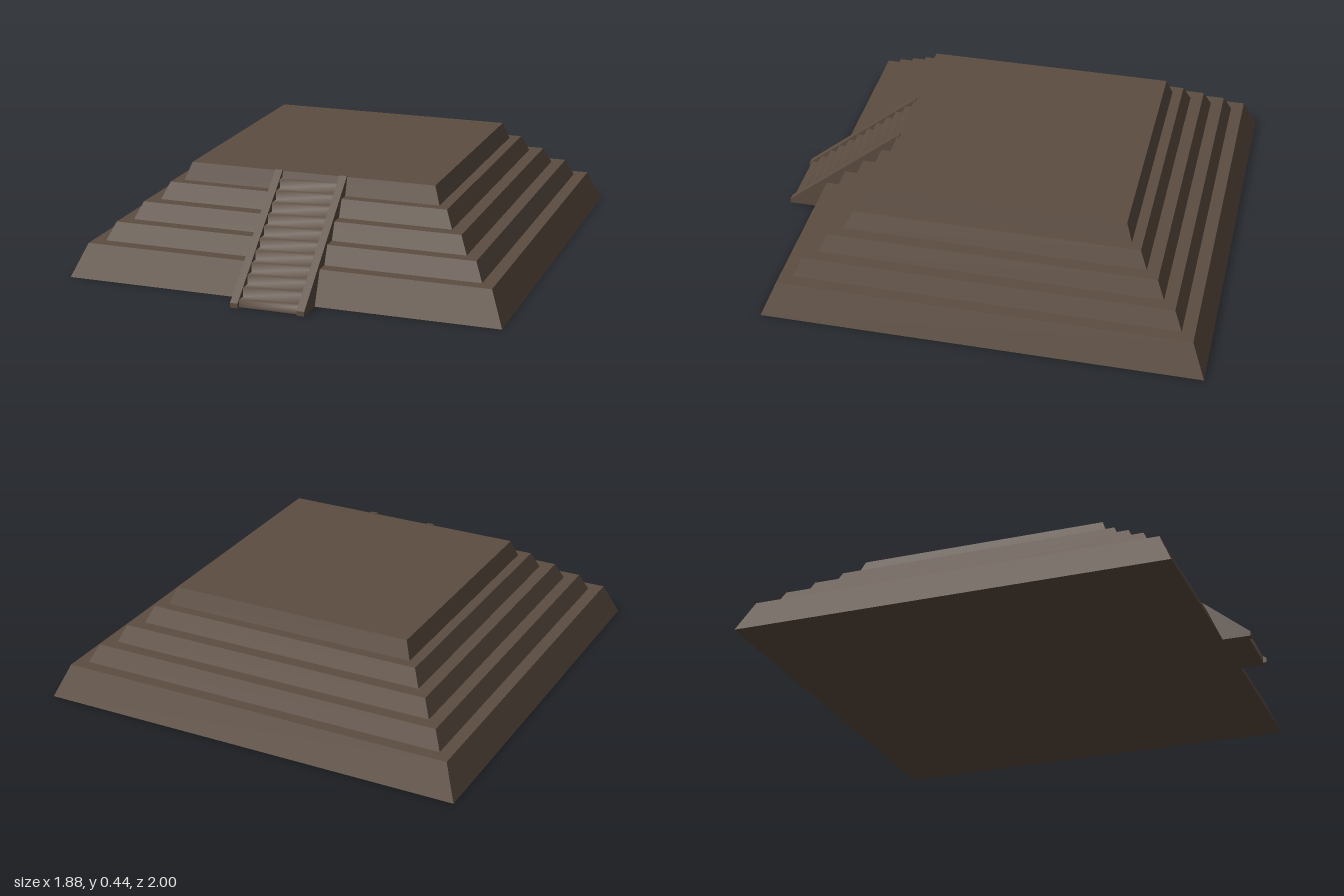
import * as THREE from 'three';

const CENTRE_Z = -0.06;

// Square block with sloping sides
function slopedBlock(y0, y1, half0, half1) {
  const geo = new THREE.BoxGeometry(2, y1 - y0, 2);
  geo.translate(0, (y0 + y1) / 2, 0);
  const pos = geo.attributes.position;
  for (let i = 0; i < pos.count; i++) {
    const half = pos.getY(i) > (y0 + y1) / 2 ? half1 : half0;
    pos.setX(i, pos.getX(i) * half);
    pos.setZ(i, pos.getZ(i) * half);
  }
  geo.computeVertexNormals();
  return geo;
}

// Side profile given as [z, y], extruded along x
function sideProfile(points, width, x) {
  const shape = new THREE.Shape(points.map(([z, y]) => new THREE.Vector2(-z, y)));
  const geo = new THREE.ExtrudeGeometry(shape, { depth: width, bevelEnabled: false });
  geo.rotateY(Math.PI / 2);
  geo.translate(x - width / 2, 0, 0);
  return geo;
}

// Worn staircase surface: a zigzag strip with normals shared across the edges
function stepStrip(profile, half) {
  const verts = [], index = [];
  profile.forEach(([z, y], i) => {
    verts.push(-half, y, z, half, y, z);
    if (i > 0) {
      const a = 2 * i - 2;
      index.push(a, a + 1, a + 3, a, a + 3, a + 2);
    }
  });
  const geo = new THREE.BufferGeometry();
  geo.setAttribute('position', new THREE.Float32BufferAttribute(verts, 3));
  geo.setIndex(index);
  geo.computeVertexNormals();
  return geo;
}

export function createModel() {
  const model = new THREE.Group();
  model.name = 'steppedPyramid';
  const stone = new THREE.MeshStandardMaterial({ color: 0x5c4d41 });
  stone.name = 'brownStone';

  const add = (geo, name) => {
    const mesh = new THREE.Mesh(geo, stone);
    mesh.name = name;
    model.add(mesh);
    return mesh;
  };

  // Terraces: bottom height, top height, bottom half-width, top half-width
  const tiers = [
    [0, 0.14, 0.94, 0.88],
    [0.14, 0.217, 0.825, 0.79],
    [0.217, 0.29, 0.735, 0.702],
    [0.29, 0.362, 0.647, 0.615],
    [0.362, 0.437, 0.57, 0.543],
  ];
  tiers.forEach((tier, i) => {
    add(slopedBlock(...tier), `terrace${i + 1}`).position.z = CENTRE_Z;
  });

  // Sloping walls on both sides of the stairs
  const wall = [[1, 0], [1, 0.02], [0.487, 0.442], [0.475, 0.442], [0.475, 0]];
  for (const side of [-1, 1]) {
    add(sideProfile(wall, 0.033, side * 0.1435), side > 0 ? 'leftStairWall' : 'rightStairWall');
  }

  // Stairs between the walls
  const steps = [[0.985, 0]];
  for (let k = 0; k < 11; k++) {
    const y = 0.03 + k * 0.038;
    const z = 0.985 - k * 0.0463;
    steps.push([z, y], [z - 0.0463, y]);
  }
  steps.push([0.4757, 0.437]);
  add(stepStrip(steps, 0.128), 'stairs');

  // Underside of the stairs
  const base = new THREE.PlaneGeometry(0.256, 0.51);
  base.rotateX(Math.PI / 2);
  base.translate(0, 0, 0.73);
  add(base, 'stairBase');

  return model;
}
